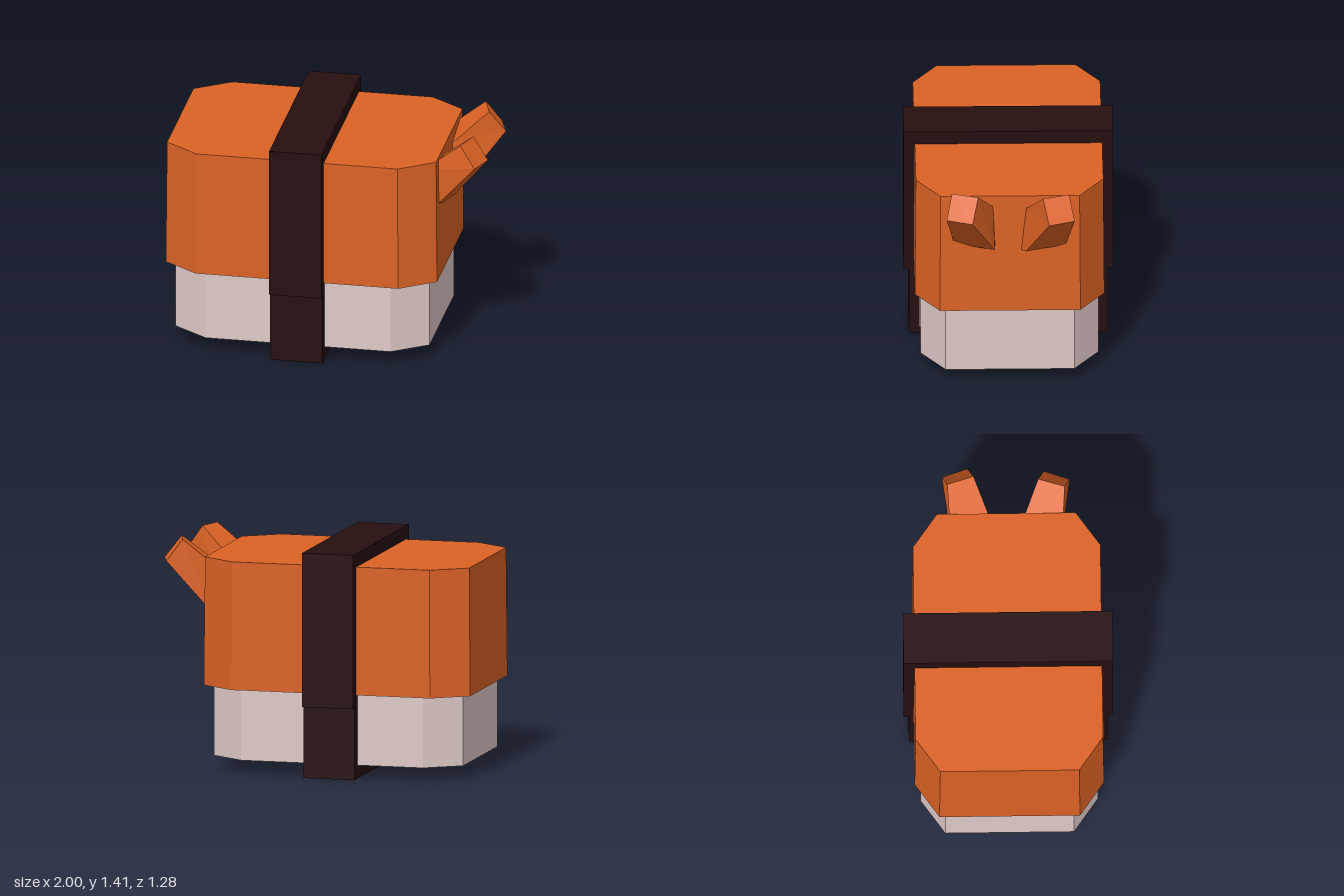
import * as THREE from 'three';

const orange = new THREE.MeshStandardMaterial({ color: 0xdc6225 });
orange.name = 'salmon orange';
const white = new THREE.MeshStandardMaterial({ color: 0xdfcac8 });
white.name = 'rice white';
const black = new THREE.MeshStandardMaterial({ color: 0x260f0f });
black.name = 'seaweed black';

// Flat-faced solid through matching rings, each counter-clockwise seen from the last ring's end
function loft(rings) {
  const pos = [];
  const tri = (a, b, c) => pos.push(...a, ...b, ...c);
  const n = rings[0].length;
  for (let k = 0; k < rings.length - 1; k++) {
    for (let i = 0; i < n; i++) {
      const j = (i + 1) % n;
      tri(rings[k][i], rings[k][j], rings[k + 1][j]);
      tri(rings[k][i], rings[k + 1][j], rings[k + 1][i]);
    }
  }
  const first = rings[0], last = rings[rings.length - 1];
  for (let i = 1; i < n - 1; i++) {
    tri(first[0], first[i + 1], first[i]);
    tri(last[0], last[i], last[i + 1]);
  }
  const geo = new THREE.BufferGeometry();
  geo.setAttribute('position', new THREE.Float32BufferAttribute(pos, 3));
  geo.computeVertexNormals();
  return geo;
}

// Block outline with clipped corners at height y
const CENTRE = -0.155;
function octagon(y, hx, hz, cx, cz) {
  return [
    [hx, hz - cz], [hx, cz - hz], [hx - cx, -hz], [cx - hx, -hz],
    [-hx, cz - hz], [-hx, hz - cz], [cx - hx, hz], [hx - cx, hz],
  ].map(([x, z]) => [x + CENTRE, y, z]);
}

// Bent, square tail fin: root inside the block, elbow at its wall, tip up and outward
function tailFin(side) {
  const front = side > 0;
  const elbow = [[0.67, 0.967, 0.342], [0.62, 1.235, 0.345], [0.70, 1.24, 0.105], [0.76, 0.97, 0.095]];
  const tip = [[0.94, 1.275, 0.392], [0.845, 1.41, 0.36], [0.895, 1.41, 0.198], [0.995, 1.275, 0.235]];
  const root = elbow.map(([x, y, z]) => [x - 0.16, y - 0.057, z - (front ? 0.01 : 0.06)]);
  const rings = [root, elbow, tip].map((ring) => {
    const placed = ring.map(([x, y, z]) => [front ? x - 0.022 : x, y, z * side]);
    return front ? placed.reverse() : placed;
  });
  return loft(rings);
}

export function createModel() {
  const model = new THREE.Group();
  model.name = 'sushi';
  const add = (name, geo, mat, x = 0, y = 0, z = 0) => {
    const mesh = new THREE.Mesh(geo, mat);
    mesh.name = name;
    mesh.position.set(x, y, z);
    model.add(mesh);
  };

  // Rice base
  add('riceBlock', loft([octagon(0.083, 0.793, 0.545, 0.215, 0.15), octagon(0.526, 0.793, 0.545, 0.215, 0.15)]), white);

  // Topping, very slightly narrower at the top, with a white underside
  const lower = octagon(0.525, 0.847, 0.581, 0.215, 0.15);
  add('topping', loft([lower, octagon(1.317, 0.84, 0.575, 0.213, 0.149)]), orange);
  add('toppingUnderside', loft([lower.map(([x, , z]) => [x, 0.522, z]), lower.map(([x, , z]) => [x, 0.525, z])]), white);

  // Seaweed wrap: narrow below, wider around the topping
  add('lowerBand', new THREE.BoxGeometry(0.325, 0.45, 1.22), black, -0.153, 0.225, 0);
  add('upperBand', new THREE.BoxGeometry(0.327, 0.955, 1.285), black, -0.153, 0.9225, 0);

  // Tail fins
  add('leftTailFin', tailFin(1), orange);
  add('rightTailFin', tailFin(-1), orange);
  return model;
}
